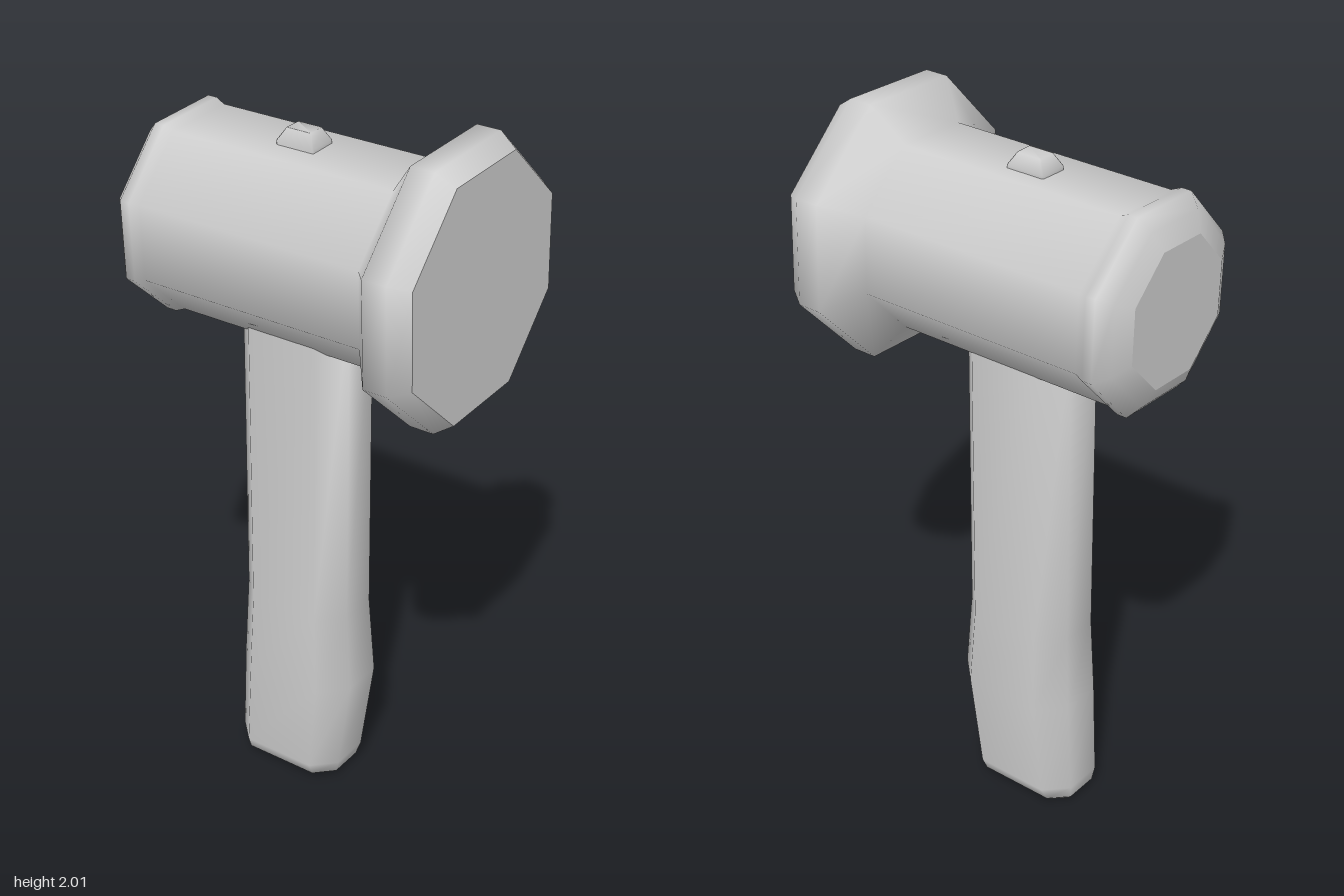
import * as THREE from 'three';

const material = new THREE.MeshStandardMaterial({ color: 0xcccccc });

function add(parent, name, geometry) {
  const mesh = new THREE.Mesh(geometry, material);
  mesh.name = name;
  parent.add(mesh);
  return mesh;
}

// Smooth upright loft through chamfered rectangles: [y, half width, back z, front z, chamfer x, chamfer z]
function loft(levels) {
  const positions = [], index = [], n = 8;
  for (const [y, w, back, front, cx, cz] of levels) {
    const f = w - cx;
    const ring = [
      [-f, front], [f, front], [w, front - cz], [w, back + cz],
      [f, back], [-f, back], [-w, back + cz], [-w, front - cz],
    ];
    for (const [x, z] of ring) positions.push(x, y, z);
  }
  const top = (levels.length - 1) * n;
  for (let j = 0; j < top; j += n) {
    for (let i = 0; i < n; i++) {
      const k = (i + 1) % n;
      index.push(j + i, j + k, j + n + k, j + i, j + n + k, j + n + i);
    }
  }
  for (let i = 1; i < n - 1; i++) {
    index.push(0, i + 1, i, top, top + i, top + i + 1);
  }
  const geometry = new THREE.BufferGeometry();
  geometry.setAttribute('position', new THREE.Float32BufferAttribute(positions, 3));
  geometry.setIndex(index);
  geometry.computeVertexNormals();
  return geometry;
}

export function createModel() {
  const model = new THREE.Group();
  model.name = 'mallet';

  // Eight-sided head, turned slightly about its axis
  const head = new THREE.Group();
  head.name = 'head';
  head.position.y = 1.648;
  head.rotation.z = THREE.MathUtils.degToRad(2.2);
  model.add(head);

  const profile = [
    [0.197, -0.487], [0.25, -0.462], [0.287, -0.43], [0.287, -0.402], [0.275, -0.375],
    [0.275, 0.292], [0.381, 0.368], [0.381, 0.436], [0.345, 0.487],
  ].map(([r, z]) => new THREE.Vector2(r, z));
  const barrel = new THREE.LatheGeometry(profile, 8);
  barrel.rotateX(Math.PI / 2).rotateZ(Math.PI / 8);
  add(head, 'headBarrel', barrel);

  // Flat striking faces
  const face = (r) => new THREE.CircleGeometry(r, 8, Math.PI / 8);
  add(head, 'frontFace', face(0.345)).position.z = 0.487;
  add(head, 'backFace', face(0.197).rotateY(Math.PI)).position.z = -0.487;

  // Handle with a swelling grip and rounded butt
  add(model, 'handle', loft([
    [0, 0.075, -0.215, 0.065, 0.03, 0.03],
    [0.015, 0.1, -0.229, 0.092, 0.05, 0.05],
    [0.055, 0.118, -0.234, 0.104, 0.06, 0.06],
    [0.34, 0.13, -0.221, 0.145, 0.07, 0.07],
    [0.57, 0.12, -0.21, 0.128, 0.065, 0.065],
    [1.5, 0.118, -0.21, 0.128, 0.065, 0.065],
  ]));

  // Small peg on top of the head
  add(model, 'topPeg', loft([
    [1.86, 0.042, -0.106, 0.008, 0.003, 0.003],
    [1.912, 0.042, -0.106, 0.008, 0.003, 0.003],
    [1.945, 0.026, -0.086, -0.012, 0.003, 0.003],
  ]));

  return model;
}
